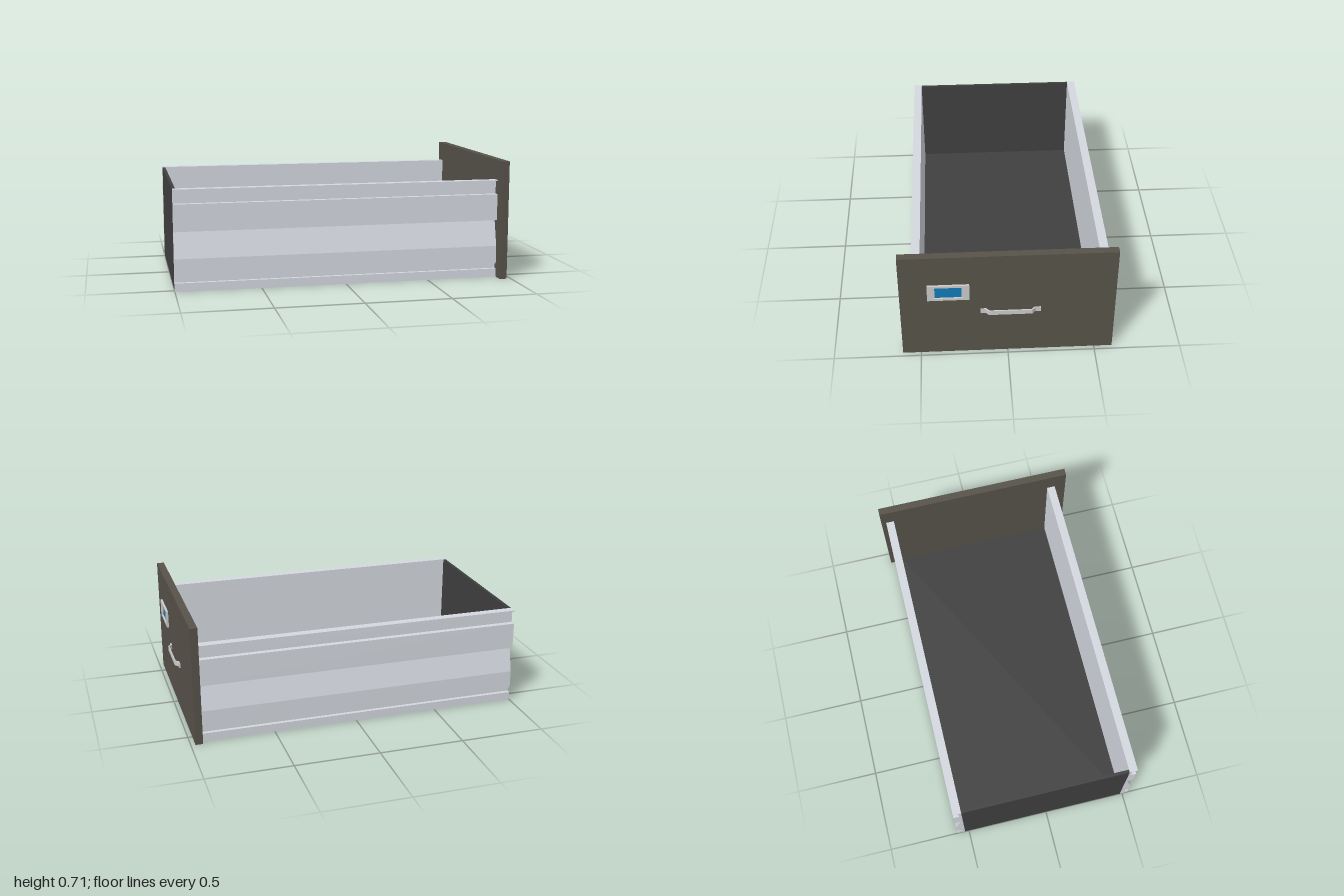
import * as THREE from 'three';

const mat = (color) => new THREE.MeshStandardMaterial({ color });

function add(group, name, geometry, material) {
  const mesh = new THREE.Mesh(geometry, material);
  mesh.name = name;
  group.add(mesh);
  return mesh;
}

// Box given by its limits on each axis
function box(x0, x1, y0, y1, z0, z1) {
  return new THREE.BoxGeometry(x1 - x0, y1 - y0, z1 - z0)
    .translate((x0 + x1) / 2, (y0 + y1) / 2, (z0 + z1) / 2);
}

const shapeOf = (points) => new THREE.Shape(points.map(([x, y]) => new THREE.Vector2(x, y)));
const extrude = (shape, depth) => new THREE.ExtrudeGeometry(shape, { depth, bevelEnabled: false });

export function createModel() {
  const drawer = new THREE.Group();
  drawer.name = 'drawer';
  const metal = mat(0xd4d8df), grey = mat(0xcccccc), dark = mat(0x404040);
  const panel = mat(0x57534a), blue = mat(0x127bb8);

  const back = -1, face = 0.93, front = 0.974; // x of rear end and of the front panel
  const mid = -0.02, inner = 0.505, outer = 0.555; // z of the tray centre, side wall depths

  // Front panel
  add(drawer, 'frontPanel', box(face, front, 0, 0.71, -0.605, 0.605), panel);

  // Side walls: one rolled profile (distance outward, height), used on both sides
  const profile = shapeOf([
    [inner, 0], [outer, 0], [outer, 0.05], [0.533, 0.05], [0.533, 0.08], [outer, 0.08],
    [outer, 0.19], [0.518, 0.342], [0.518, 0.347], [outer, 0.347], [outer, 0.505],
    [0.522, 0.505], [0.522, 0.584], [outer, 0.584], [outer, 0.59], [inner, 0.59],
  ]);
  for (const side of [1, -1]) {
    const g = extrude(profile, face - back).rotateY(-Math.PI / 2);
    if (side > 0) g.translate(face, 0, mid);
    else g.rotateY(Math.PI).translate(back, 0, mid);
    add(drawer, side > 0 ? 'frontSideWall' : 'rearSideWall', g, metal);
  }

  // Tray floor and back wall
  add(drawer, 'floor', box(back, face, 0.002, 0.02, mid - inner, mid + inner), dark);
  add(drawer, 'backWall', box(back, back + 0.018, 0.02, 0.588, mid - inner, mid + inner), dark);

  // Pull handle: bent strip with flat feet, drawn in plan as (x, -z)
  const handle = shapeOf([
    [front, -0.155], [0.981, -0.155], [0.981, -0.126], [1, -0.109], [1, 0.136], [0.981, 0.153],
    [0.981, 0.185], [front, 0.185], [front, 0.149], [0.993, 0.132], [0.993, -0.105], [front, -0.122],
  ]);
  add(drawer, 'handle', extrude(handle, 0.029).rotateX(-Math.PI / 2).translate(0, 0.301, 0), grey);

  // Label holder: frame with a window, drawn as (-z, y)
  const frame = shapeOf([[-0.45, 0.41], [-0.215, 0.41], [-0.215, 0.516], [-0.45, 0.516]]);
  frame.holes.push(shapeOf([[-0.416, 0.425], [-0.416, 0.502], [-0.25, 0.502], [-0.25, 0.425]]));
  add(drawer, 'labelFrame', extrude(frame, 0.012).rotateY(Math.PI / 2).translate(front, 0, 0), grey);
  add(drawer, 'label', box(front, 0.977, 0.425, 0.502, 0.257, 0.408), blue);
  for (const z of [0.25, 0.408]) {
    add(drawer, 'labelClip', box(front, 0.981, 0.425, 0.502, z, z + 0.008), grey);
  }
  return drawer;
}
